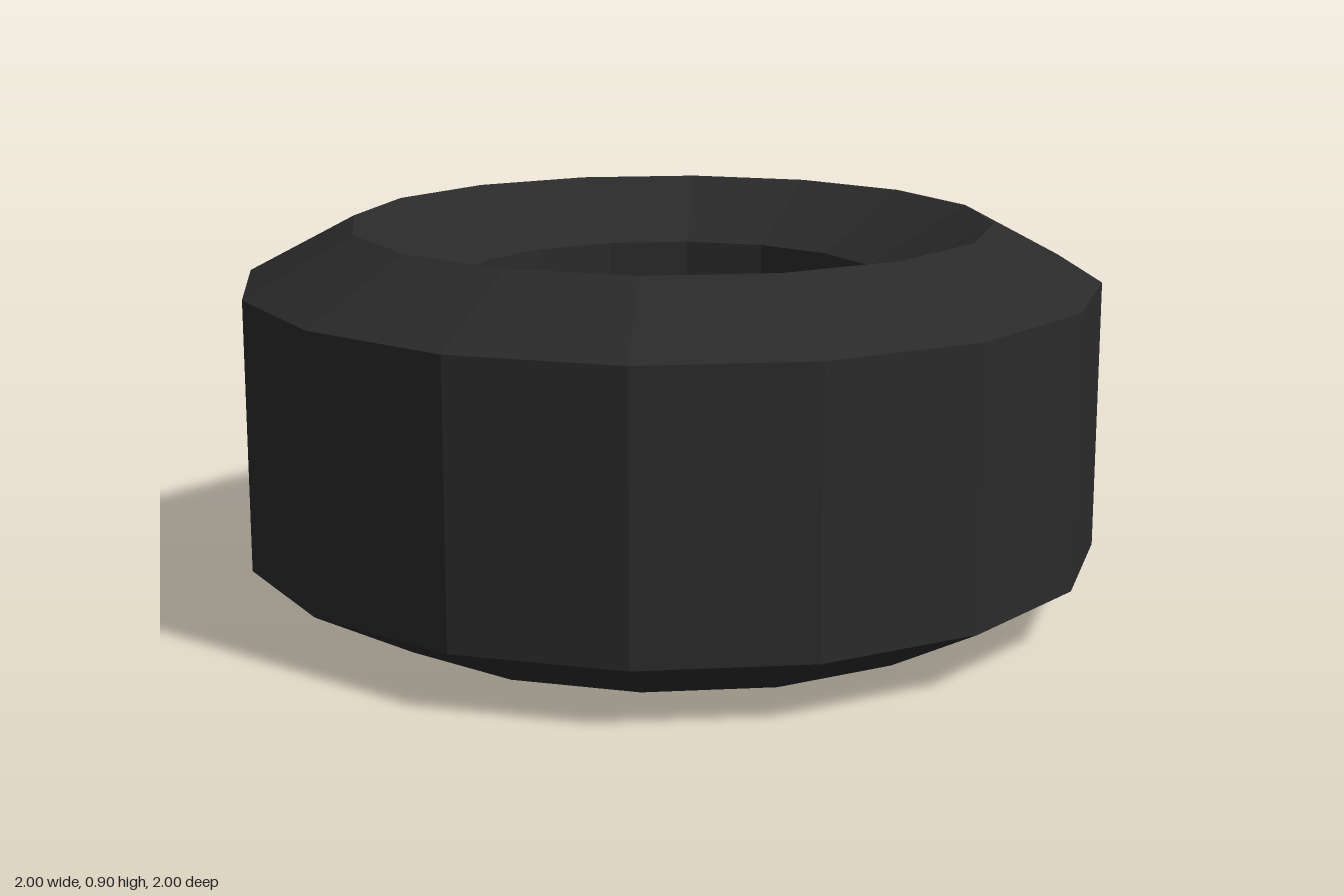
import * as THREE from 'three';

export function createModel() {
  const group = new THREE.Group();
  group.name = 'tyre';

  const height = 0.896, bevel = 0.134;
  const outer = 1, rim = 0.748, inner = 0.498;

  // Closed hexagonal cross-section, from the outer tread up and round the bore
  const profile = [
    [outer, bevel], [outer, height - bevel], [rim, height],
    [inner, height - bevel], [inner, bevel], [rim, 0], [outer, bevel],
  ].map(([r, y]) => new THREE.Vector2(r, y));

  // Sixteen-sided faceted ring
  const ring = new THREE.Mesh(
    new THREE.LatheGeometry(profile, 16),
    new THREE.MeshStandardMaterial({ color: 0x2a2a2a, flatShading: true })
  );
  ring.name = 'tyreRing';
  group.add(ring);
  return group;
}
